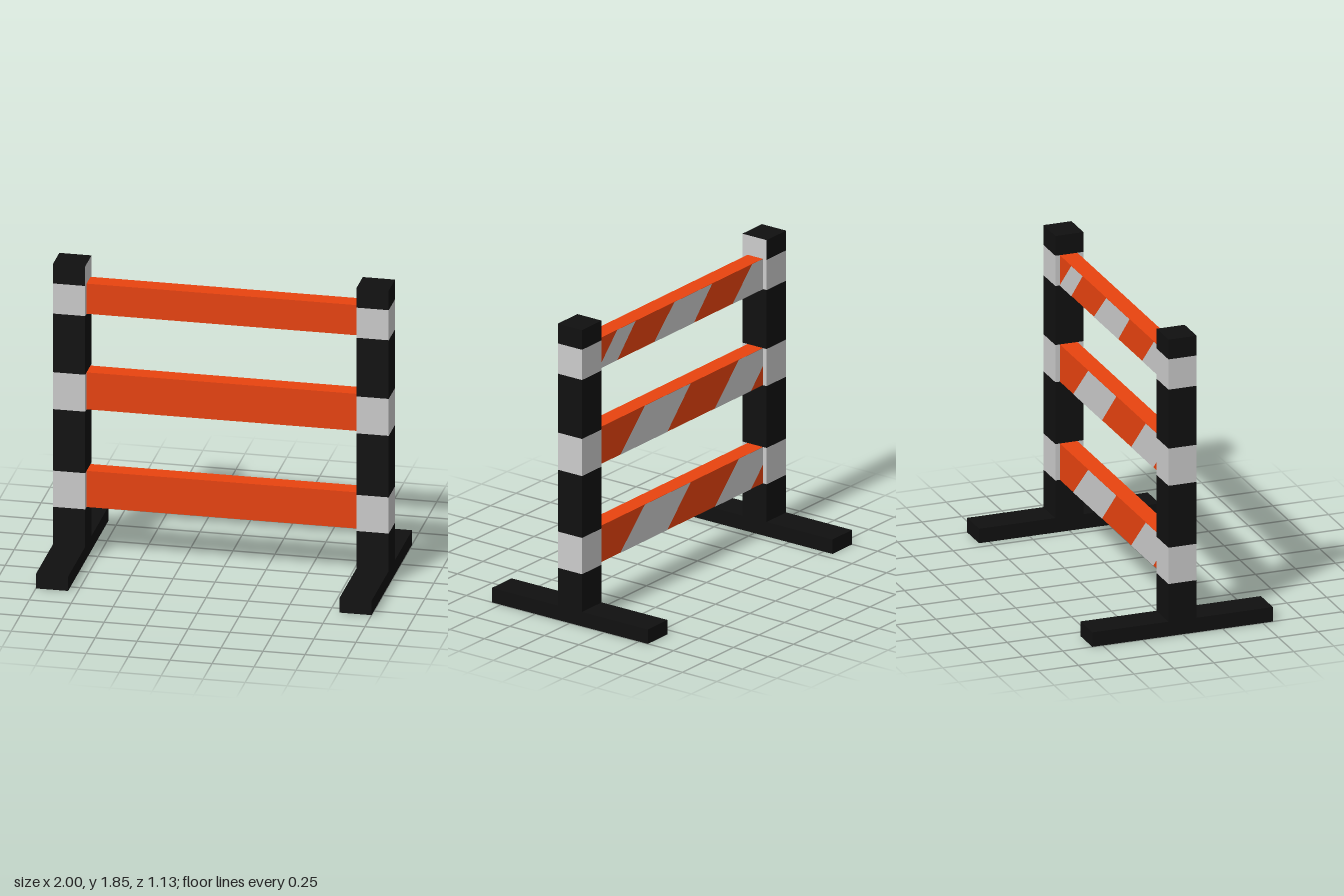
import * as THREE from 'three';

const black = new THREE.MeshStandardMaterial({ color: 0x101010 });
const grey = new THREE.MeshStandardMaterial({ color: 0xcccccc });
const orange = new THREE.MeshStandardMaterial({ color: 0xe8430f });

const INNER = 0.808, OUTER = 1;       // post and foot extent in x
const POST_Z = 0.088, FOOT_Z = 0.565; // half depths
const BACK = -0.06, FRONT = 0.05;     // rail faces in z

// Stripe outlines on the back of each rail, as [x, height fraction]
const wideStripes = [
  [[0.59, 0], [0.35, 1], [-0.1, 1], [0.13, 0]],
  [[-0.335, 0], [-0.57, 1], [-INNER, 1], [-INNER, 0.52], [-0.69, 0]],
];
const narrowStripes = [
  [[INNER, 0], [0.62, 1], [0.44, 1], [0.62, 0]],
  [[0.26, 0], [0.06, 1], [-0.31, 1], [-0.13, 0]],
  [[-0.51, 0], [-0.7, 1], [-INNER, 1], [-INNER, 0]],
];
const rails = [
  { name: 'lowerRail', y0: 0.325, y1: 0.552, stripes: wideStripes },
  { name: 'middleRail', y0: 0.938, y1: 1.17, stripes: wideStripes },
  { name: 'upperRail', y0: 1.538, y1: 1.727, stripes: narrowStripes },
];

// Box given by its lower and upper corners
function box(name, [x0, y0, z0], [x1, y1, z1], material) {
  const geometry = new THREE.BoxGeometry(x1 - x0, y1 - y0, z1 - z0);
  geometry.translate((x0 + x1) / 2, (y0 + y1) / 2, (z0 + z1) / 2);
  const mesh = new THREE.Mesh(geometry, material);
  mesh.name = name;
  return mesh;
}

// Post with grey bands level with the rails, on a long foot
function stand(name, side) {
  const group = new THREE.Group();
  group.name = name;
  const x0 = side > 0 ? INNER : -OUTER;
  const x1 = side > 0 ? OUTER : -INNER;
  const levels = [0, ...rails.flatMap((r) => [r.y0, r.y1]), 1.85];
  for (let i = 0; i < levels.length - 1; i++) {
    const band = i % 2 === 1;
    let material = band ? grey : black;
    // The right post's top has a grey inner face
    if (side < 0 && i === levels.length - 2) material = [grey, black, black, black, black, black];
    group.add(box(band ? 'postBand' : 'postSection',
      [x0, levels[i], -POST_Z], [x1, levels[i + 1], POST_Z], material));
  }
  group.add(box('footFront', [x0, 0, POST_Z], [x1, 0.09, FOOT_Z], black));
  group.add(box('footBack', [x0, 0, -FOOT_Z], [x1, 0.09, -POST_Z], black));
  return group;
}

// Horizontal rail with slanted stripes on its back
function rail({ name, y0, y1, stripes }) {
  const group = new THREE.Group();
  group.name = name;
  group.add(box('board', [-INNER, y0, BACK], [INNER, y1, FRONT], orange));
  for (const outline of stripes) {
    const points = outline.map(([x, t]) => new THREE.Vector2(-x, y0 + t * (y1 - y0)));
    const geometry = new THREE.ShapeGeometry(new THREE.Shape(points));
    geometry.rotateY(Math.PI).translate(0, 0, BACK - 0.002);
    const stripe = new THREE.Mesh(geometry, grey);
    stripe.name = 'stripe';
    group.add(stripe);
  }
  return group;
}

export function createModel() {
  const model = new THREE.Group();
  model.name = 'barrier';
  model.add(stand('leftStand', 1), stand('rightStand', -1));
  for (const r of rails) model.add(rail(r));
  return model;
}
